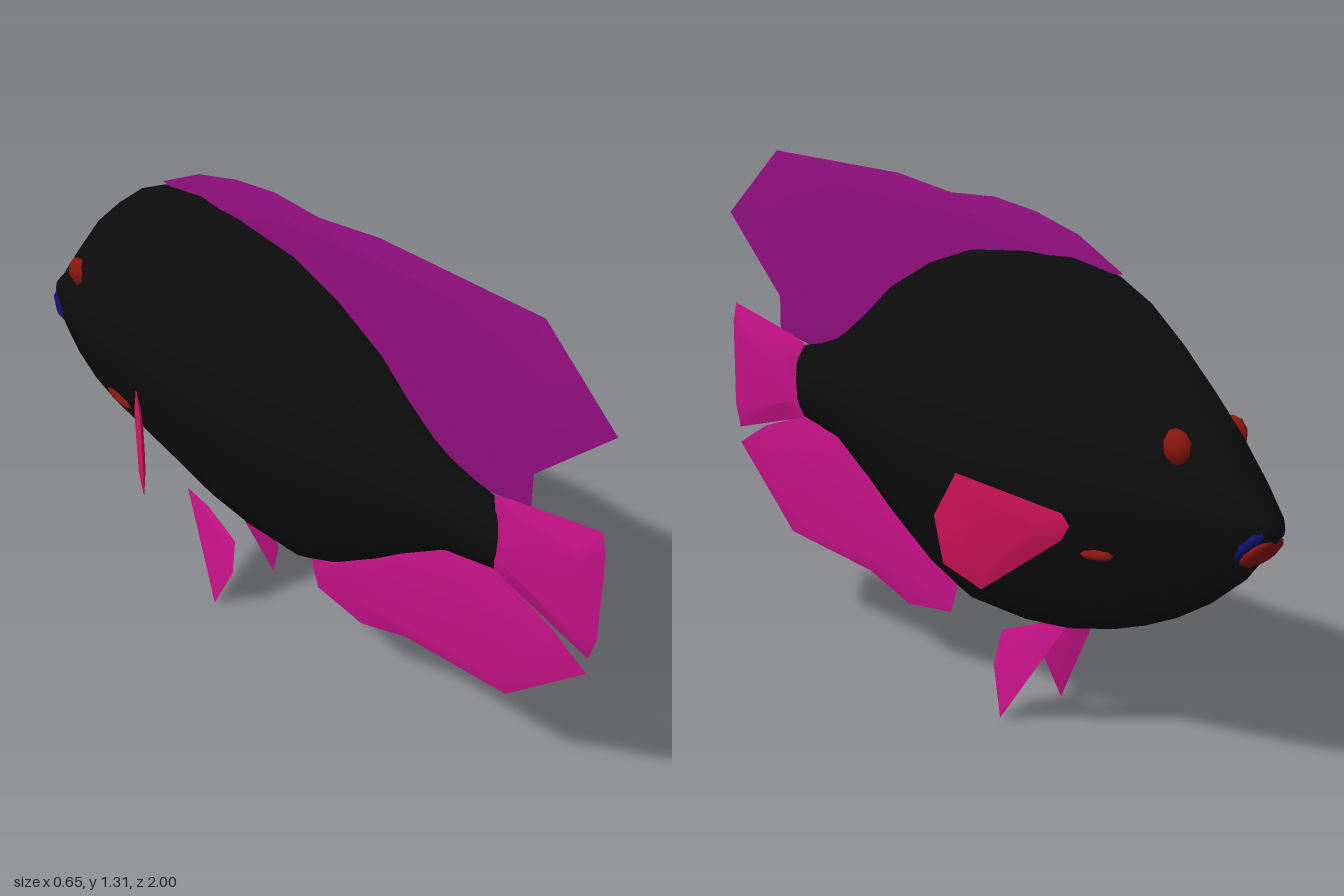
import * as THREE from 'three';

const paint = (name, color, side = THREE.FrontSide) => {
  const m = new THREE.MeshStandardMaterial({ color, side });
  m.name = name;
  return m;
};

function geometry(positions, index) {
  const g = new THREE.BufferGeometry();
  g.setAttribute('position', new THREE.Float32BufferAttribute(positions, 3));
  g.setIndex(index);
  g.computeVertexNormals();
  return g;
}

// Octagonal cross-sections lofted from the snout to the tail root
function bodyGeometry() {
  // [z, top, bottom, half width]
  const sections = [
    [-0.975, 0.67, 0.595, 0.035], [-0.9, 0.775, 0.5, 0.073], [-0.8, 0.905, 0.42, 0.108],
    [-0.7, 1.0, 0.36, 0.133], [-0.6, 1.08, 0.315, 0.15], [-0.5, 1.13, 0.28, 0.154],
    [-0.35, 1.165, 0.243, 0.155], [-0.2, 1.17, 0.228, 0.15], [0, 1.15, 0.235, 0.13],
    [0.15, 1.1, 0.29, 0.108], [0.3, 1.02, 0.385, 0.084], [0.4, 0.935, 0.46, 0.066],
    [0.53, 0.84, 0.55, 0.043], [0.6, 0.81, 0.567, 0.032], [0.69, 0.785, 0.59, 0.018],
  ];
  const ring = [[0, 1], [0.85, 0.55], [1, 0], [0.85, -0.55], [0, -1], [-0.85, -0.55], [-1, 0], [-0.85, 0.55]];
  const n = ring.length, pos = [], idx = [];
  for (const [z, top, bottom, w] of sections)
    for (const [x, y] of ring) pos.push(x * w, (top + bottom) / 2 + y * (top - bottom) / 2, z);
  const last = (sections.length - 1) * n, nose = last + n, end = nose + 1;
  pos.push(0, 0.63, -1, 0, 0.69, 0.725);
  for (let j = 0; j < n; j++) {
    const k = (j + 1) % n;
    for (let i = 0; i < last; i += n)
      idx.push(i + j, i + n + j, i + k, i + k, i + n + j, i + n + k);
    idx.push(nose, j, k, end, last + k, last + j);
  }
  return geometry(pos, idx);
}

// Fin from a side outline of [z, y] points: sharp rim, thicker middle.
// xAt gives the sideways offset of the fin's middle plane.
function finGeometry(outline, thick, inset, xAt = () => 0) {
  const pts = outline.map(([z, y]) => new THREE.Vector2(z, y));
  if (THREE.ShapeUtils.isClockWise(pts)) pts.reverse();
  const n = pts.length;
  const mid = pts.reduce((a, p) => a.add(p), new THREE.Vector2()).divideScalar(n);
  const inner = pts.map((p) => mid.clone().lerp(p, inset));
  const cap = THREE.ShapeUtils.triangulateShape(inner, []);
  const pos = [], idx = [];
  for (const s of [1, -1]) {
    const base = pos.length / 3;
    const tri = (a, b, c) => (s < 0 ? idx.push(base + a, base + b, base + c) : idx.push(base + a, base + c, base + b));
    for (const p of pts) pos.push(xAt(p.x, p.y), p.y, p.x);
    for (const p of inner) pos.push(xAt(p.x, p.y) + s * thick, p.y, p.x);
    for (let i = 0; i < n; i++) {
      const k = (i + 1) % n;
      tri(i, k, n + i);
      tri(k, n + k, n + i);
    }
    for (const [a, b, c] of cap) tri(n + a, n + b, n + c);
  }
  return geometry(pos, idx);
}

export function createModel() {
  const black = paint('body black', 0x0d0d0d);
  const purple = paint('dorsal purple', 0x930f80, THREE.DoubleSide);
  const magenta = paint('fin magenta', 0xc41285, THREE.DoubleSide);
  const crimson = paint('pectoral crimson', 0xd6145a, THREE.DoubleSide);
  const red = paint('dark red', 0x8a160e);
  const blue = paint('lip blue', 0x10106e);

  const fish = new THREE.Group();
  fish.name = 'fish';
  const add = (name, geo, mat) => {
    const m = new THREE.Mesh(geo, mat);
    m.name = name;
    fish.add(m);
    return m;
  };
  const blob = (name, mat, at, size, tilt = 0, detail = [10, 6]) => {
    const m = add(name, new THREE.SphereGeometry(1, ...detail), mat);
    m.position.set(...at);
    m.scale.set(...size);
    m.rotation.x = tilt;
  };

  add('body', bodyGeometry(), black);

  // Fins on the centre line
  add('dorsalFin', finGeometry([
    [1, 1.12], [0.78, 1.31], [0.275, 1.295], [0.075, 1.265], [-0.08, 1.27], [-0.22, 1.25],
    [-0.365, 1.21], [-0.51, 1.135], [-0.3, 1.1], [0.1, 1.0], [0.4, 0.86], [0.56, 0.78],
    [0.78, 0.815], [0.78, 0.91],
  ], 0.01, 0.75), purple);
  add('tailFin', finGeometry([
    [0.985, 0.865], [1, 0.81], [1, 0.57], [0.98, 0.505], [0.72, 0.575], [0.64, 0.6], [0.64, 0.78], [0.72, 0.81],
  ], 0.015, 0.65), magenta);
  add('analFin', finGeometry([
    [0.98, 0.46], [0.745, 0.245], [0.405, 0.21], [0.245, 0.155], [0.08, 0.175], [0.05, 0.26],
    [0.15, 0.34], [0.36, 0.5], [0.53, 0.59], [0.68, 0.59], [0.86, 0.53],
  ], 0.01, 0.7), magenta);

  // Paired parts
  for (const [label, s] of [['left', 1], ['right', -1]]) {
    add(label + 'PectoralFin', finGeometry([
      [-0.265, 0.672], [-0.47, 0.59], [-0.485, 0.56], [-0.47, 0.525], [-0.315, 0.392], [-0.24, 0.45], [-0.222, 0.567],
    ], 0.01, 0.6, (z) => s * (0.15 + (z + 0.47) * 0.7)), crimson);
    add(label + 'PelvicFin', finGeometry([
      [-0.18, 0.21], [-0.17, 0.12], [-0.22, 0.0], [-0.39, 0.268], [-0.3, 0.255],
    ], 0.005, 0.55, (z, y) => s * (0.052 + (0.265 - y) * 0.205)), magenta);
    blob(label + 'Eye', red, [s * 0.094, 0.795, -0.768], [0.022, 0.043, 0.043], 0, [7, 5]);
    blob(label + 'GillMark', red, [s * 0.131, 0.507, -0.565], [0.013, 0.013, 0.056], 0.15, [8, 4]);
  }

  // Mouth
  blob('innerLip', blue, [0, 0.59, -0.932], [0.066, 0.02, 0.072], 0.8);
  blob('outerLip', red, [0, 0.575, -0.94], [0.058, 0.02, 0.056], 0.8);

  return fish;
}
